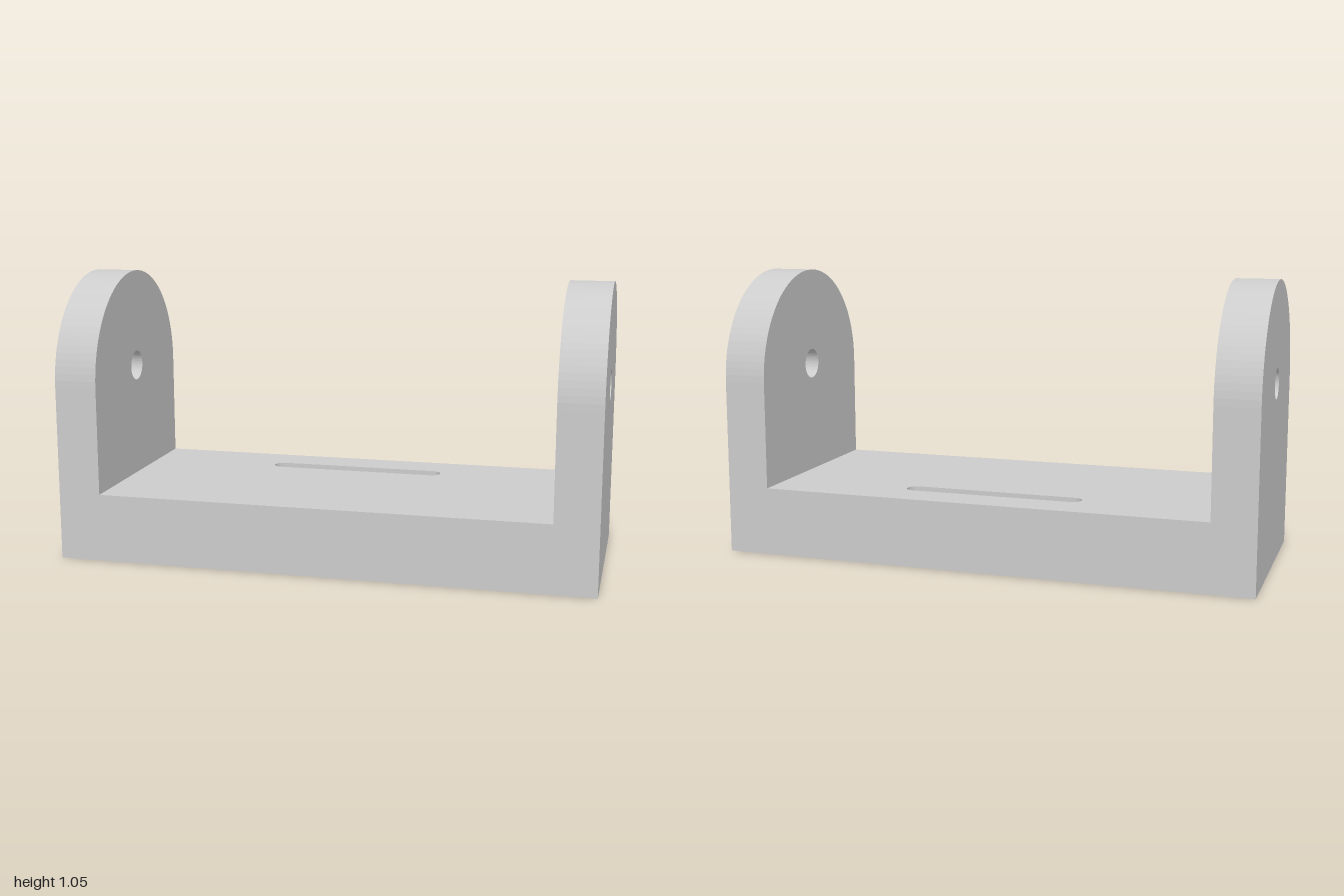
import * as THREE from 'three';

const LENGTH = 2, DEPTH = 0.8, WALL = 0.16;
const BASE_H = 0.255, POCKET_H = 0.15, SLOT_Z = -0.224;

const material = new THREE.MeshStandardMaterial({ color: 0xcccccc });

// Rounded rectangle outline centred on (cx, cy)
function roundedRect(cx, cy, w, h, r) {
  const x = w / 2 - r, y = h / 2 - r;
  const p = new THREE.Path();
  p.absarc(cx + x, cy + y, r, 0, Math.PI / 2);
  p.absarc(cx - x, cy + y, r, Math.PI / 2, Math.PI);
  p.absarc(cx - x, cy - y, r, Math.PI, Math.PI * 1.5);
  p.absarc(cx + x, cy - y, r, Math.PI * 1.5, Math.PI * 2);
  p.closePath();
  return p;
}

// Horizontal layer of the base with one opening, from y0 to y1
function baseLayer(name, y0, y1, hole) {
  const w = LENGTH / 2 - WALL, d = DEPTH / 2;
  const shape = new THREE.Shape([
    new THREE.Vector2(-w, -d), new THREE.Vector2(w, -d),
    new THREE.Vector2(w, d), new THREE.Vector2(-w, d),
  ]);
  shape.holes.push(hole);
  const geo = new THREE.ExtrudeGeometry(shape, { depth: y1 - y0, bevelEnabled: false, curveSegments: 10 });
  geo.rotateX(-Math.PI / 2).translate(0, y0, 0);
  const mesh = new THREE.Mesh(geo, material);
  mesh.name = name;
  return mesh;
}

// Upright end plate with arched top and a pivot hole
function endPlate(name, x0) {
  const r = DEPTH / 2;
  const shape = new THREE.Shape();
  shape.moveTo(-r, 0);
  shape.lineTo(r, 0);
  shape.absarc(0, 0.655, r, 0, Math.PI);
  shape.closePath();
  shape.holes.push(new THREE.Path().absarc(0, 0.682, 0.057, 0, Math.PI * 2));
  const geo = new THREE.ExtrudeGeometry(shape, { depth: WALL, bevelEnabled: false, curveSegments: 24 });
  geo.rotateY(Math.PI / 2).translate(x0, 0, 0);
  const mesh = new THREE.Mesh(geo, material);
  mesh.name = name;
  return mesh;
}

export function createModel() {
  const group = new THREE.Group();
  group.name = 'bracket';
  // Base: wide pocket underneath, narrow slot through the top
  group.add(
    baseLayer('basePocketLayer', 0, POCKET_H, roundedRect(0, -SLOT_Z, 0.71, 0.22, 0.035)),
    baseLayer('baseSlotLayer', POCKET_H, BASE_H, roundedRect(0, -SLOT_Z, 0.68, 0.07, 0.0349)),
    endPlate('leftEndPlate', LENGTH / 2 - WALL),
    endPlate('rightEndPlate', -LENGTH / 2),
  );
  return group;
}
